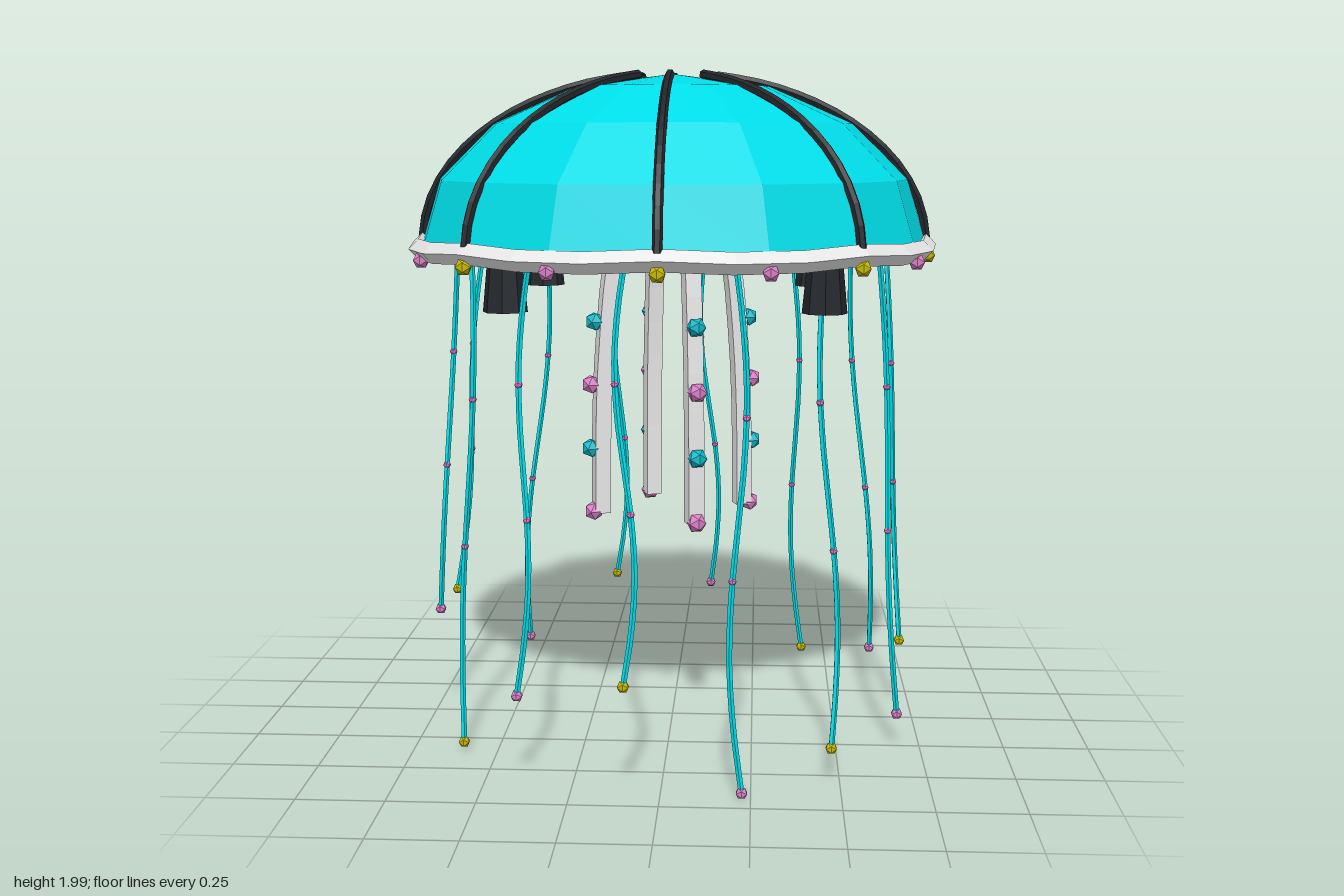
import * as THREE from 'three';

const mat = (name, color, side = THREE.FrontSide) => {
  const m = new THREE.MeshStandardMaterial({ color, flatShading: true, side });
  m.name = name;
  return m;
};

export function createModel() {
  const model = new THREE.Group();
  model.name = 'jellyfish';

  const teal = mat('bell teal', 0x00dfea, THREE.DoubleSide);
  const beadTeal = mat('bead teal', 0x10bccc);
  const grey = mat('pale grey', 0xececec);
  const black = mat('charcoal', 0x22262b, THREE.DoubleSide);
  const pink = mat('bead pink', 0xda80c8);
  const yellow = mat('bead yellow', 0xc8b800);

  const add = (name, geometry, material, parent = model) => {
    const mesh = new THREE.Mesh(geometry, material);
    mesh.name = name;
    parent.add(mesh);
    return mesh;
  };
  const bead = (name, radius, material, position, parent = model) =>
    add(name, new THREE.IcosahedronGeometry(radius, 0), material, parent).position.copy(position);
  const polar = (angle, r, y) => new THREE.Vector3(Math.sin(angle) * r, y, Math.cos(angle) * r);

  // Bell: open faceted half ellipsoid
  const bell = add('bell', new THREE.SphereGeometry(1, 16, 4, 0, Math.PI * 2, 0, Math.PI / 2), teal);
  bell.scale.set(0.76, 0.5, 0.76);
  bell.position.y = 1.487;

  // Rim: slightly wavy four-sided ring around the opening
  const rimPoints = [];
  for (let i = 0; i < 48; i++) {
    const a = (i * Math.PI) / 24;
    rimPoints.push(polar(a, 0.76, 1.481 + 0.006 * Math.cos(8 * a)));
  }
  const rimCurve = new THREE.CatmullRomCurve3(rimPoints, true);
  add('rim', new THREE.TubeGeometry(rimCurve, 24, 0.03, 4, true), grey);

  // Ribs over the bell
  for (let i = 0; i < 8; i++) {
    const points = [];
    for (let k = 0; k <= 9; k++) {
      const a = THREE.MathUtils.degToRad(10 + (78 * k) / 9);
      points.push(polar((i * Math.PI) / 4, 0.76 * Math.sin(a), 1.487 + 0.503 * Math.cos(a)));
    }
    const curve = new THREE.CatmullRomCurve3(points);
    add('rib', new THREE.TubeGeometry(curve, 14, 0.014, 6), black);
  }

  // Beads under the rim
  for (let i = 0; i < 16; i++) {
    bead('rimBead', 0.025, i % 2 ? pink : yellow, polar((i * Math.PI) / 8, 0.766, 1.452));
  }

  // Hanging pods on the diagonals
  for (let i = 0; i < 4; i++) {
    const pod = add('pod', new THREE.CylinderGeometry(0.05, 0.063, 0.135, 8), black);
    pod.position.copy(polar(Math.PI / 4 + (i * Math.PI) / 2, 0.627, 1.388));
  }

  // Inner stomach
  const stomach = add('stomach', new THREE.SphereGeometry(1, 10, 6), grey);
  stomach.scale.set(0.32, 0.19, 0.32);
  stomach.position.y = 1.63;

  // Four curved square arms with a row of beads on the outside
  const h = 0.024;
  const square = new THREE.Shape([[-h, -h], [h, -h], [h, h], [-h, h]].map(([x, y]) => new THREE.Vector2(x, y)));
  const armPath = new THREE.CatmullRomCurve3(
    [[0.16, 1.56], [0.186, 1.44], [0.211, 1.2], [0.223, 0.97], [0.226, 0.67]].map(([z, y]) => new THREE.Vector3(0, y, z)));
  const armGeometry = new THREE.ExtrudeGeometry(square, { steps: 8, extrudePath: armPath, bevelEnabled: false });
  for (let i = 0; i < 4; i++) {
    const arm = new THREE.Group();
    arm.name = 'oralArm';
    arm.rotation.y = THREE.MathUtils.degToRad(19.5 + 90 * i);
    model.add(arm);
    add('armStrip', armGeometry, grey, arm);
    [[0.243, 1.255], [0.255, 1.065], [0.257, 0.87], [0.25, 0.675]].forEach(([z, y], k) =>
      bead('armBead', 0.03, k % 2 ? pink : beadTeal, new THREE.Vector3(0, y, z), arm));
  }

  // Tentacles, listed by tip position
  const tips = [
    [-0.095, 0.34, 0.745], [0.225, 0.02, 0.68], [0.475, 0.105, 0.55], [0.68, 0.11, 0.265],
    [0.71, 0.24, -0.05], [0.64, 0.11, -0.39], [0.42, 0.03, -0.645], [0.1, 0.24, -0.72],
    [-0.23, 0.28, -0.68], [-0.52, 0.09, -0.53], [-0.715, 0.34, -0.22], [-0.72, 0.35, 0.05],
    [-0.6, 0.03, 0.35], [-0.4, 0.27, 0.63],
  ];
  tips.forEach(([x, y, z], i) => {
    const tip = new THREE.Vector3(x, y, z);
    const angle = ((i * 360) / 14 - 8) * (Math.PI / 180);
    const root = polar(angle, 0.645, 1.5);
    const side = polar(angle + Math.PI / 2, 1, 0);
    const swing = (i % 2 === 0) === (i > 7) ? 0.03 : -0.03;
    const points = [];
    for (let k = 0; k <= 8; k++) {
      const t = k / 8;
      points.push(root.clone().lerp(tip, t).addScaledVector(side, swing * Math.sin(t * Math.PI * 2)));
    }
    const curve = new THREE.CatmullRomCurve3(points);
    add('tentacle', new THREE.TubeGeometry(curve, 20, 0.0085, 5), teal);
    for (const t of [0.3, 0.6]) bead('tentacleBead', 0.0125, pink, curve.getPointAt(t));
    bead('tentacleTip', 0.018, i % 2 ? pink : yellow, tip);
  });

  return model;
}
